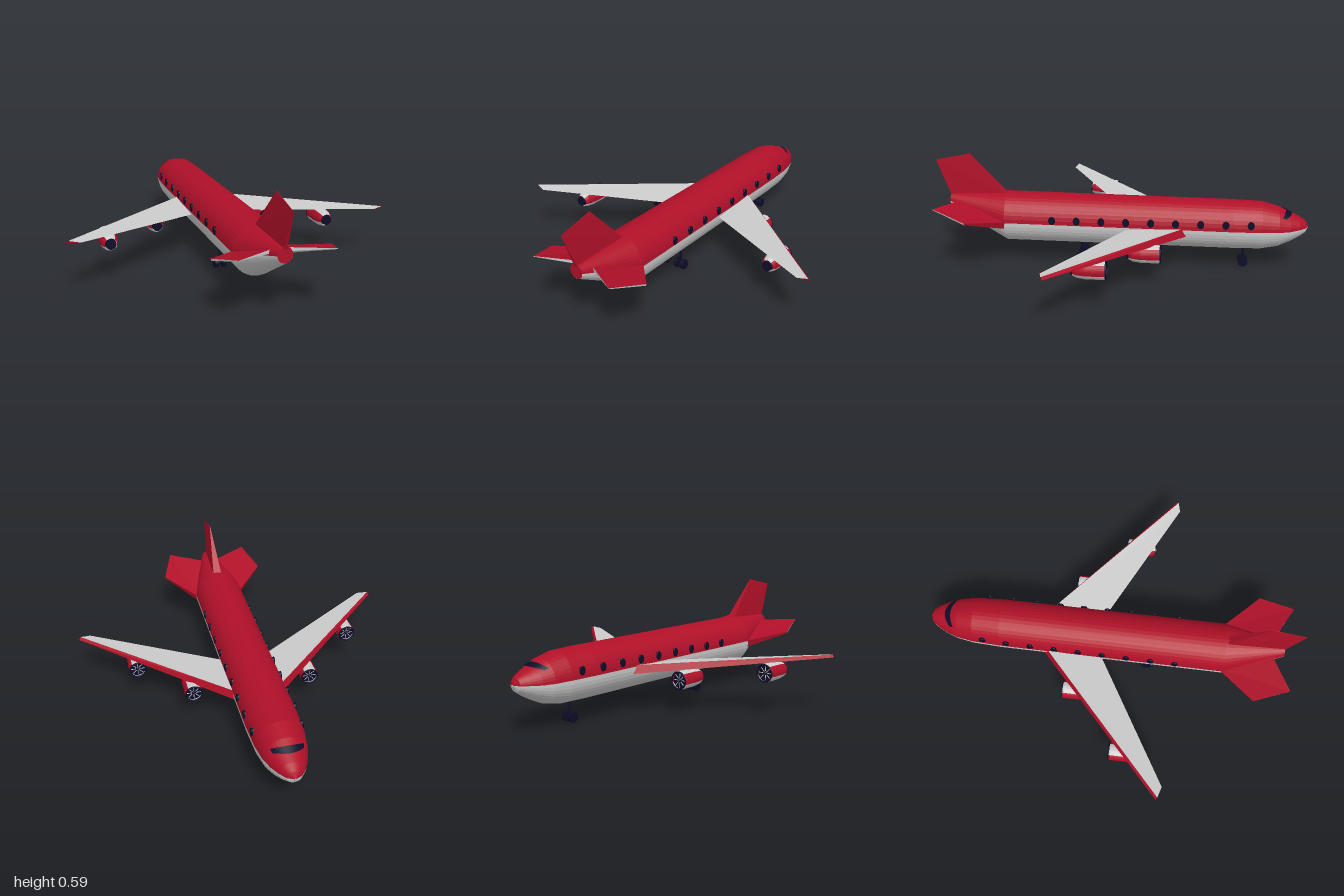
import * as THREE from 'three';

const mat = (color) => new THREE.MeshStandardMaterial({ color, flatShading: true, side: THREE.DoubleSide });
const RED = mat(0xb01028), GREY = mat(0xcccccc), DARK = mat(0x0c0c28);
const V = (x, y, z) => new THREE.Vector3(x, y, z);
const rad = THREE.MathUtils.degToRad;

function add(parent, name, geometry, material, x = 0, y = 0, z = 0) {
  const mesh = new THREE.Mesh(geometry, material);
  mesh.name = name;
  mesh.position.set(x, y, z);
  parent.add(mesh);
  return mesh;
}

// Surface from a rows x cols grid of points given by at(i, j)
function grid(rows, cols, at) {
  const pos = [], idx = [];
  for (let i = 0; i <= rows; i++) for (let j = 0; j <= cols; j++) pos.push(...at(i, j).toArray());
  for (let i = 0; i < rows; i++) for (let j = 0; j < cols; j++) {
    const a = i * (cols + 1) + j, b = a + cols + 1;
    idx.push(a, a + 1, b, a + 1, b + 1, b);
  }
  const g = new THREE.BufferGeometry();
  g.setAttribute('position', new THREE.Float32BufferAttribute(pos, 3));
  g.setIndex(idx);
  g.computeVertexNormals();
  return g;
}

// Part of a body of elliptical sections [z, centreY, halfWidth, halfHeight] between two angles
function loft(stations, from, to, steps) {
  return grid(stations.length - 1, steps, (i, j) => {
    const [z, cy, w, h] = stations[i], a = rad(from + (to - from) * j / steps);
    return V(w * Math.cos(a), cy + h * Math.sin(a), z);
  });
}

// Flat faces of a convex solid, each turned away from its middle
function facets(points, faces) {
  const mid = points.reduce((s, p) => s.add(p), V(0, 0, 0)).divideScalar(points.length);
  const pos = [];
  for (const f of faces) for (let k = 1; k < f.length - 1; k++) {
    let [a, b, c] = [points[f[0]], points[f[k]], points[f[k + 1]]];
    const n = b.clone().sub(a).cross(c.clone().sub(a));
    if (n.dot(a.clone().sub(mid)) < 0) [b, c] = [c, b];
    pos.push(...a.toArray(), ...b.toArray(), ...c.toArray());
  }
  const g = new THREE.BufferGeometry();
  g.setAttribute('position', new THREE.Float32BufferAttribute(pos, 3));
  g.computeVertexNormals();
  return g;
}

const HULL = [
  [-1, 0.235, 0.004, 0.004], [-0.985, 0.235, 0.036, 0.033], [-0.95, 0.234, 0.063, 0.055],
  [-0.9, 0.232, 0.088, 0.08], [-0.84, 0.233, 0.109, 0.108], [-0.75, 0.236, 0.124, 0.128],
  [-0.6, 0.238, 0.131, 0.131], [0.61, 0.252, 0.133, 0.1335], [0.92, 0.335, 0.037, 0.037],
];

// Hull section at any z
function section(z) {
  const i = Math.max(1, HULL.findIndex((s) => s[0] >= z));
  const t = (z - HULL[i - 1][0]) / (HULL[i][0] - HULL[i - 1][0]);
  return HULL[i].map((v, k) => THREE.MathUtils.lerp(HULL[i - 1][k], v, t));
}

function fuselage() {
  const g = new THREE.Group();
  g.name = 'fuselage';
  add(g, 'upperHull', loft(HULL, 0, 180, 20), RED);
  add(g, 'lowerHull', loft(HULL, 180, 360, 20), GREY);
  add(g, 'tailCap', new THREE.CircleGeometry(0.037, 24), RED, 0, 0.335, 0.92);
  // Cockpit window wrapped over the nose
  add(g, 'windshield', grid(4, 20, (i, j) => {
    const u = j / 10 - 1, a = rad(90 - 48 * -u);
    const [z, cy, w, h] = section(-0.912 + 0.035 * u * u + i / 4 * (0.034 - 0.012 * u * u));
    return V((w + 0.004) * Math.cos(a), cy + (h + 0.004) * Math.sin(a), z);
  }), DARK);
  // Cabin windows
  for (const side of [1, -1]) for (let i = 0; i < 9; i++) {
    const z = 0.353 - i * 0.1305, [, cy, w, h] = section(z);
    const x = w * Math.sqrt(1 - ((0.273 - cy) / h) ** 2);
    const win = new THREE.Group();
    win.name = 'cabinWindow';
    win.position.set(side * x, 0.273, z);
    win.rotation.set(0, side * Math.PI / 2, 0);
    win.scale.set(0.8, 1, 1);
    add(win, 'pane', new THREE.CylinderGeometry(0.02, 0.02, 0.012, 16).rotateX(Math.PI / 2), DARK);
    add(win, 'frame', new THREE.TorusGeometry(0.02, 0.003, 6, 16), DARK, 0, 0, 0.003);
    g.add(win);
  }
  return g;
}

// Wedge wing: thick leading edge, sharp trailing edge
function wing(name, side, tipFront, tipBack) {
  const g = new THREE.Group();
  g.name = name;
  const [fx, fy, fz] = tipFront, [bx, by, bz] = tipBack;
  const p = [
    V(side * 0.11, 0.246, -0.35), V(side * 0.11, 0.203, -0.37), V(side * 0.11, 0.232, -0.05),
    V(side * (fx - 0.01), fy, fz), V(side * fx, fy - 0.012, fz - 0.008), V(side * bx, by, bz),
  ];
  add(g, 'wingTop', facets(p, [[0, 2, 5, 3]]), GREY);
  add(g, 'wingUnderside', facets(p, [[0, 1, 4, 3], [1, 2, 5, 4], [3, 4, 5]]), RED);
  return g;
}

function engine(x, y, z) {
  const g = new THREE.Group();
  g.name = 'engine';
  g.position.set(x, y, z);
  const shell = [[0, 0.044], [0.012, 0.047], [0.1, 0.046], [0.14, 0.04], [0.16, 0.03]].map(([d, r]) => [d, 0, r, r]);
  for (const [a, b, m] of [[50, 130, GREY], [130, 200, RED], [200, 340, GREY], [340, 410, RED]])
    add(g, 'nacelle', loft(shell, a, b, Math.round((b - a) / 10)), m);
  add(g, 'inletRim', new THREE.TorusGeometry(0.043, 0.004, 8, 32), DARK);
  add(g, 'inlet', new THREE.CircleGeometry(0.043, 32).rotateY(Math.PI), DARK, 0, 0, 0.012);
  for (let i = 0; i < 4; i++)
    add(g, 'fanBlade', new THREE.BoxGeometry(0.076, 0.003, 0.002), GREY, 0, 0, 0.01).rotation.z = i * Math.PI / 4;
  add(g, 'spinner', new THREE.ConeGeometry(0.012, 0.02, 16).rotateX(-Math.PI / 2), DARK, 0, 0, 0.002);
  add(g, 'exhaust', new THREE.CylinderGeometry(0.026, 0.028, 0.02, 24).rotateX(Math.PI / 2), DARK, 0, 0, 0.158);
  return g;
}

// Tailplane half: red above, grey below
function tailplane(side) {
  const g = new THREE.Group();
  g.name = side > 0 ? 'leftTailplane' : 'rightTailplane';
  const p = [
    V(side * 0.115, 0.25, 0.585), V(side * 0.293, 0.305, 0.78), V(side * 0.23, 0.355, 0.96), V(side * 0.03, 0.345, 0.85),
    V(side * 0.115, 0.212, 0.6), V(side * 0.29, 0.295, 0.78), V(side * 0.23, 0.35, 0.958), V(side * 0.03, 0.325, 0.85),
  ];
  add(g, 'tailplaneTop', facets(p, [[0, 1, 2, 3], [0, 1, 5, 4]]), RED);
  add(g, 'tailplaneUnderside', facets(p, [[4, 5, 6, 7], [1, 2, 6, 5], [2, 3, 7, 6]]), GREY);
  return g;
}

// Twin-wheel leg
function landingGear(name, x, y, z) {
  const g = new THREE.Group();
  g.name = name;
  g.position.set(x, y, z);
  add(g, 'strut', new THREE.CylinderGeometry(0.006, 0.006, 0.115, 10), DARK, 0, 0.0575, 0);
  add(g, 'axle', new THREE.CylinderGeometry(0.008, 0.008, 0.05, 10).rotateZ(Math.PI / 2), DARK);
  for (const s of [1, -1])
    add(g, 'wheel', new THREE.CylinderGeometry(0.026, 0.026, 0.02, 20).rotateZ(Math.PI / 2), DARK, s * 0.02, 0, 0);
  return g;
}

export function createModel() {
  const model = new THREE.Group();
  model.name = 'airliner';
  model.add(fuselage());
  model.add(wing('leftWing', 1, [0.852, 0.279, 0.285], [0.79, 0.272, 0.298]));
  model.add(wing('rightWing', -1, [0.857, 0.297, 0.335], [0.79, 0.288, 0.352]));
  model.add(engine(0.31, 0.178, -0.228), engine(-0.315, 0.178, -0.228));
  model.add(engine(0.567, 0.197, 0.022), engine(-0.625, 0.213, 0.062));
  model.add(tailplane(1), tailplane(-1));

  // Tail fin, thickest at the front of its base
  const fin = [
    V(0.024, 0.37, 0.61), V(-0.024, 0.37, 0.61), V(0.01, 0.35, 0.915), V(-0.01, 0.35, 0.915),
    V(0.002, 0.594, 0.807), V(-0.002, 0.594, 0.807), V(0, 0.556, 0.995),
  ];
  add(model, 'tailFin', facets(fin, [[0, 1, 5, 4], [0, 2, 6, 4], [1, 3, 6, 5], [2, 3, 6], [4, 5, 6]]), RED);

  model.add(landingGear('leftGear', 0.055, 0.04, 0.205), landingGear('rightGear', -0.055, 0.04, 0.205));
  model.add(landingGear('noseGear', 0, 0.027, -0.665));
  return model;
}
